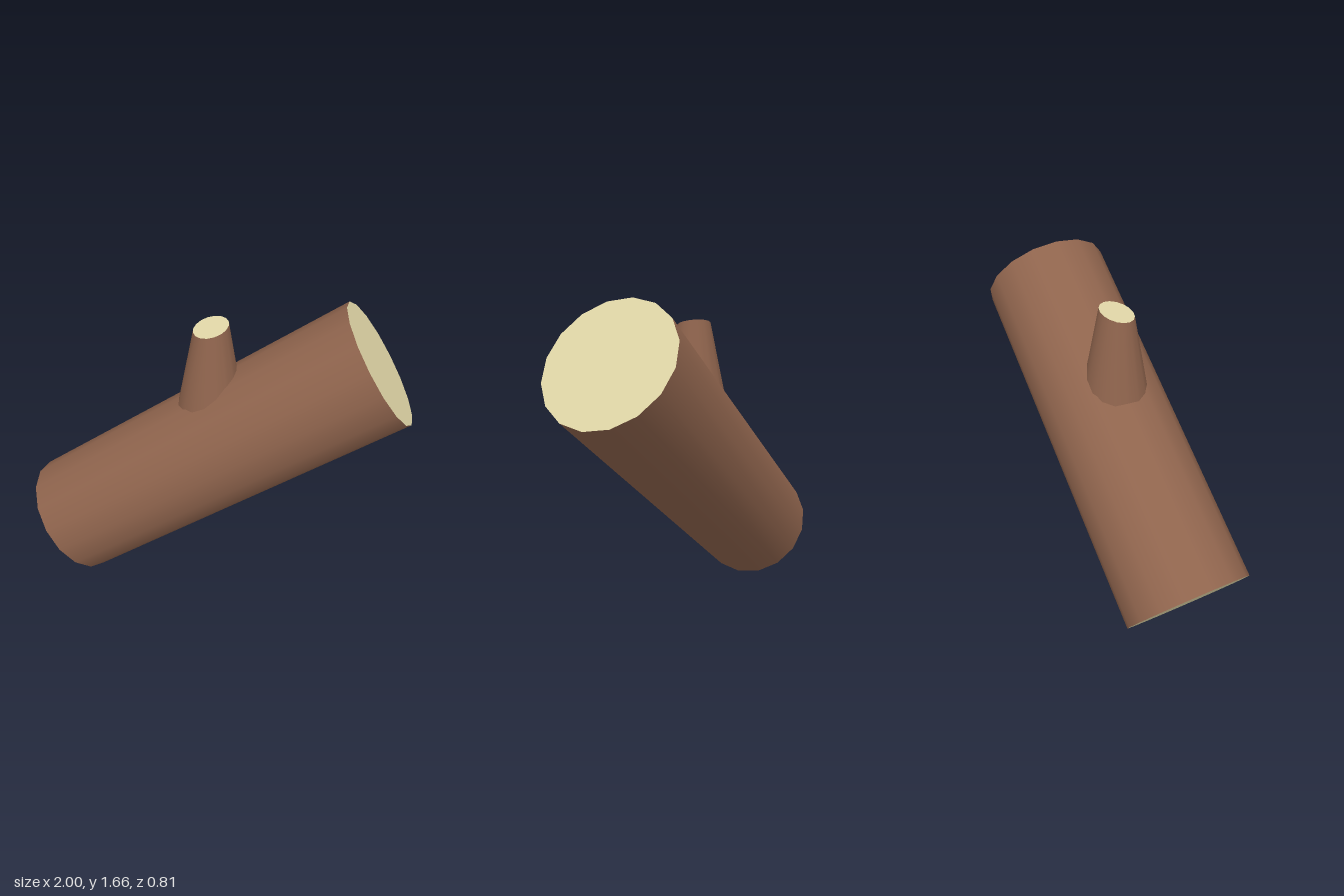
import * as THREE from 'three';

const bark = new THREE.MeshStandardMaterial({ name: 'brownBark', color: 0x8f644d });
const wood = new THREE.MeshStandardMaterial({ name: 'paleCutWood', color: 0xdfd5a6 });

// Cylinder geometry groups: side, top cap, bottom cap
const materials = [bark, wood, wood];

export function createModel() {
  const model = new THREE.Group();
  model.name = 'log';

  // Trunk: a slanted sixteen-sided log between two cut ends
  const low = new THREE.Vector3(-0.81, 0.28, 0.07);
  const high = new THREE.Vector3(0.81, 1.388, -0.07);
  const axis = high.clone().sub(low);
  const length = axis.length();
  axis.normalize();
  const side = new THREE.Vector3(-0.563, 0.826, 0.013).cross(axis).normalize();
  const up = new THREE.Vector3().crossVectors(axis, side);

  const trunkGeometry = new THREE.CylinderGeometry(0.336, 0.336, length, 16);
  trunkGeometry.applyMatrix4(new THREE.Matrix4().makeBasis(up, axis, side));
  trunkGeometry.translate(0, (low.y + high.y) / 2, 0);
  const trunk = new THREE.Mesh(trunkGeometry, materials);
  trunk.name = 'trunk';
  model.add(trunk);

  // Branch stub: a tapered peg sunk into the trunk, its top cut at a slant
  const baseY = 1.0, topY = 1.539;
  const stubGeometry = new THREE.CylinderGeometry(0.088, 0.188, topY - baseY, 16);
  stubGeometry.translate(0, (topY - baseY) / 2, 0);
  const p = stubGeometry.attributes.position;
  const n = stubGeometry.attributes.normal;
  const cutNormal = new THREE.Vector3(-0.19, 1, 0.21).normalize();
  for (let i = 0; i < p.count; i++) {
    const x = p.getX(i), y = p.getY(i), z = p.getZ(i);
    if (y > 0.1) {
      p.setXYZ(i, x + 0.007, y + 0.19 * x - 0.21 * z, z + 0.013);
      if (n.getY(i) > 0.9) n.setXYZ(i, cutNormal.x, cutNormal.y, cutNormal.z);
    }
  }
  const stub = new THREE.Mesh(stubGeometry, materials);
  stub.name = 'branchStub';
  stub.position.set(-0.02, baseY, 0.001);
  model.add(stub);

  return model;
}
